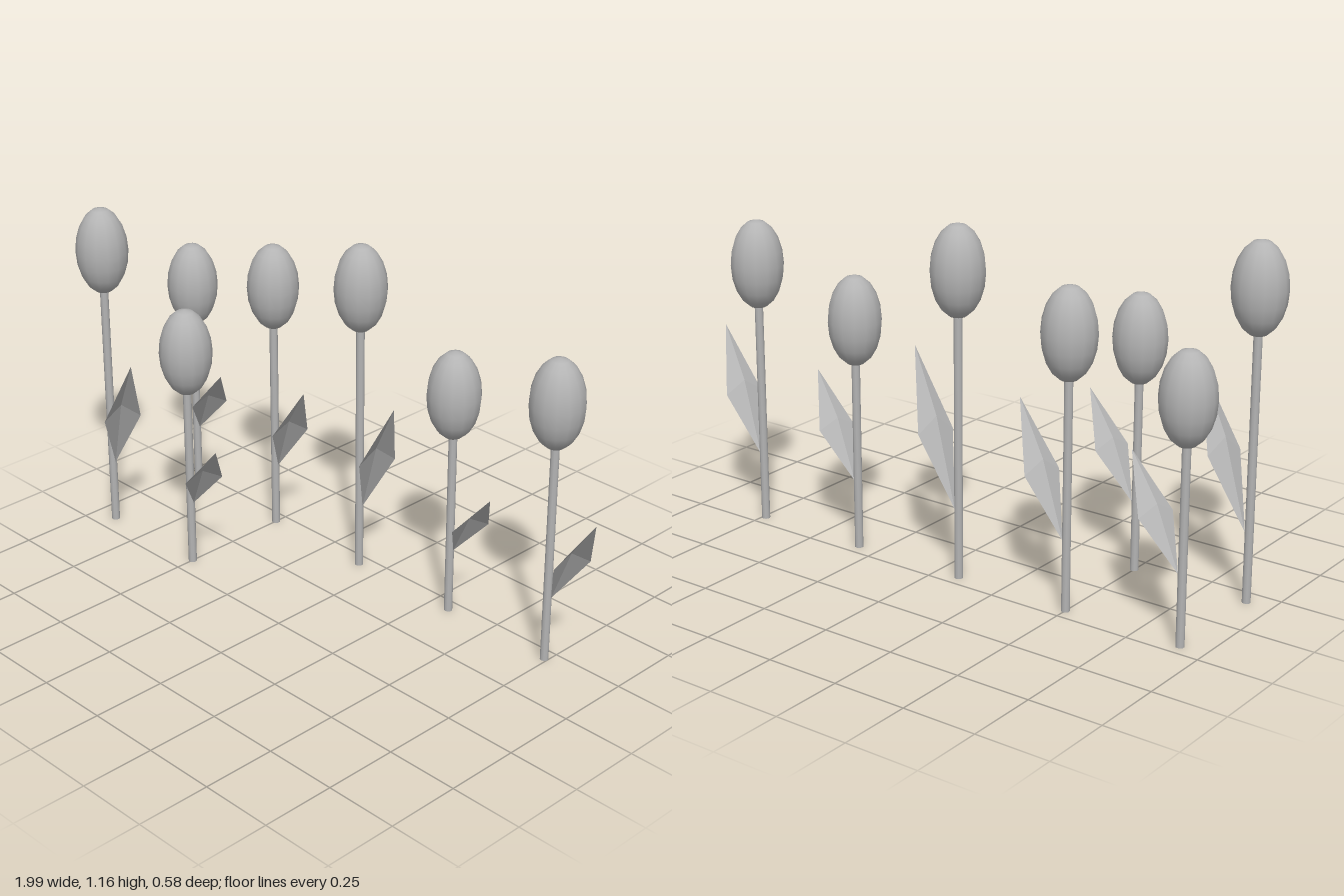
import * as THREE from 'three';

const grey = new THREE.MeshStandardMaterial({ color: 0xb4b4b4 });
grey.name = 'grey';
const leafGrey = grey.clone(); // same colour, faceted and seen from both sides
leafGrey.name = 'grey leaf';
leafGrey.flatShading = true;
leafGrey.side = THREE.DoubleSide;

// Leaf: a kite with a raised middle, unit height, starting at the stem
function leafGeometry() {
  const base = [0.015, 0, 0], back = [0.15, 0.47, -0.012], tip = [0.25, 1, 0.1];
  const front = [0.105, 0.47, 0.108], mid = [0.125, 0.58, 0.05];
  const rim = [base, front, tip, back];
  const pos = [];
  rim.forEach((p, i) => pos.push(...mid, ...p, ...rim[(i + 1) % 4]));
  const g = new THREE.BufferGeometry();
  g.setAttribute('position', new THREE.Float32BufferAttribute(pos, 3));
  g.computeVertexNormals();
  return g;
}

const bulbGeo = new THREE.SphereGeometry(0.0875, 14, 10).scale(1, 0.15 / 0.0875, 1);
const leafGeo = leafGeometry();

// One flower: stem, oval bloom and a single leaf
function flower(bloomY, leafHeight) {
  const g = new THREE.Group();
  g.name = 'flower';
  const add = (name, geo, mat, y) => {
    const m = new THREE.Mesh(geo, mat);
    m.name = name;
    m.position.y = y;
    g.add(m);
    return m;
  };
  const stemH = bloomY - 0.1;
  add('stem', new THREE.CylinderGeometry(0.014, 0.014, stemH, 10), grey, stemH / 2);
  add('bloom', bulbGeo, grey, bloomY);
  add('leaf', leafGeo, leafGrey, 0.23).scale.y = leafHeight;
  return g;
}

export function createModel() {
  const root = new THREE.Group();
  root.name = 'flowerBed';
  // Bloom centre and leaf height of the three sizes
  const sizes = { low: [0.78, 0.31], mid: [0.895, 0.388], tall: [1.015, 0.475] };
  const rows = [
    { z: -0.205, kinds: ['low', 'mid', 'tall', 'low', 'mid'] },
    { z: 0.183, kinds: ['tall', 'low'] },
  ];
  for (const { z, kinds } of rows) {
    kinds.forEach((kind, i) => {
      const f = flower(...sizes[kind]);
      f.position.set(-0.9125 + i * 0.4125, 0, z);
      root.add(f);
    });
  }
  return root;
}
